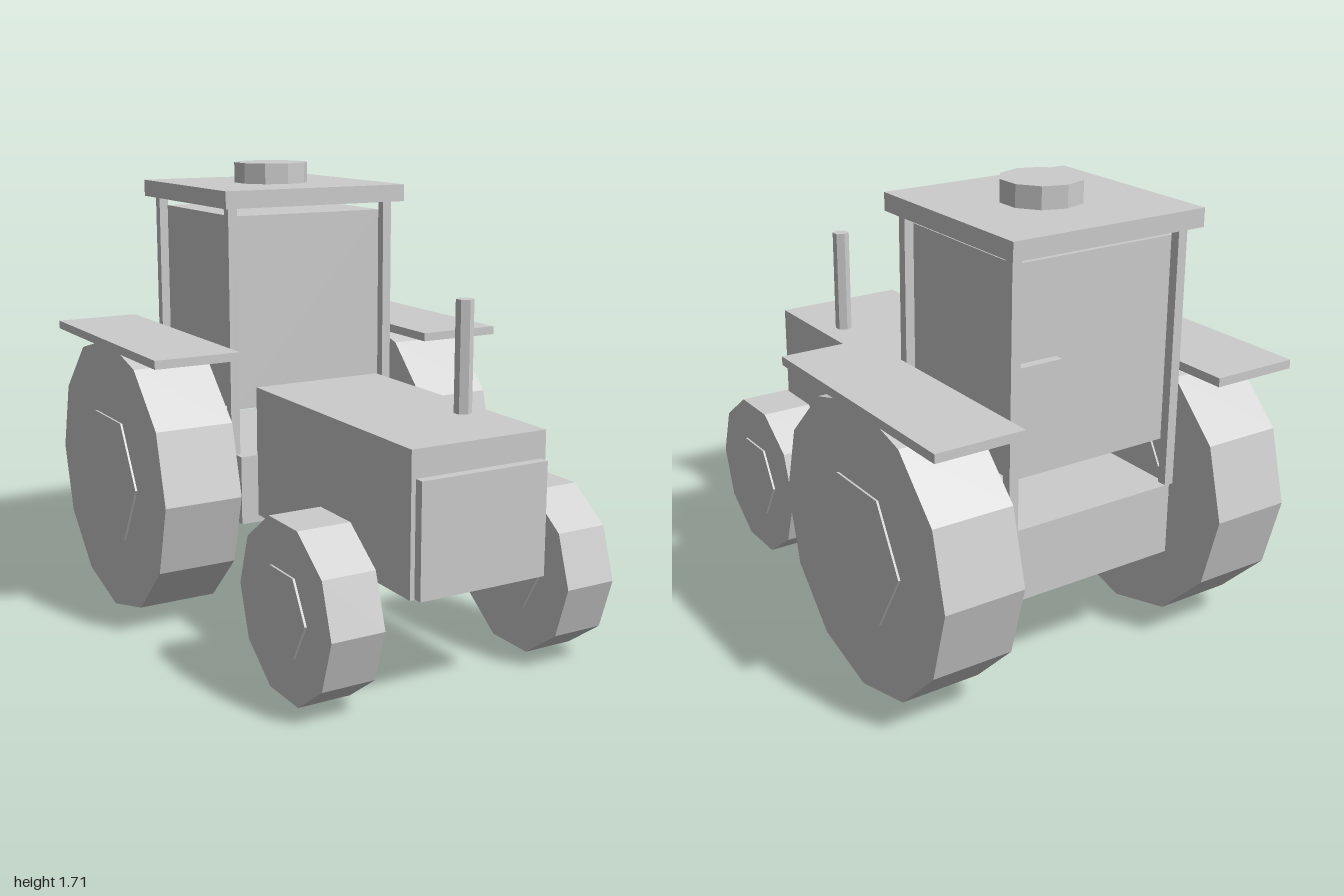
import * as THREE from 'three';

const grey = new THREE.MeshStandardMaterial({ color: 0xcccccc, flatShading: true });
grey.name = 'plain grey';

export function createModel() {
  const model = new THREE.Group();
  model.name = 'tractor';

  // Box given by its [min, max] extent on each axis
  function box(name, [x0, x1], [y0, y1], [z0, z1]) {
    const mesh = new THREE.Mesh(new THREE.BoxGeometry(x1 - x0, y1 - y0, z1 - z0), grey);
    mesh.position.set((x0 + x1) / 2, (y0 + y1) / 2, (z0 + z1) / 2);
    mesh.name = name;
    model.add(mesh);
    return mesh;
  }

  // Faceted upright cylinder
  function drum(name, radius, height, sides, x, y, z, parent = model) {
    const mesh = new THREE.Mesh(new THREE.CylinderGeometry(radius, radius, height, sides), grey);
    mesh.position.set(x, y, z);
    mesh.name = name;
    parent.add(mesh);
    return mesh;
  }

  // Tyre with a six-sided hub showing on both faces
  function wheel(name, radius, width, sides, hubRadius, hubWidth, x, y, z) {
    const group = new THREE.Group();
    group.name = name;
    drum('tyre', radius, width, sides, 0, 0, 0, group);
    drum('hub', hubRadius, hubWidth, 6, 0, 0, 0, group);
    group.rotation.z = Math.PI / 2;
    group.position.set(x, y, z);
    model.add(group);
  }

  // Body
  box('hood', [-0.265, 0.265], [0.4, 0.9], [-0.105, 0.965]);
  box('grille', [-0.248, 0.248], [0.403, 0.803], [0.96, 1.0]);
  box('rearBody', [-0.335, 0.335], [0.372, 0.637], [-0.82, -0.1]);
  drum('exhaust', 0.032, 0.4, 6, 0.165, 1.1, 0.63);

  // Cab
  box('cabWindows', [-0.318, 0.318], [0.803, 1.538], [-0.782, -0.182]);
  box('roof', [-0.383, 0.383], [1.573, 1.638], [-0.863, -0.1]);
  drum('beacon', 0.146, 0.08, 10, 0, 1.677, -0.482);
  box('rearPlate', [0.15, 0.315], [1.07, 1.205], [-0.815, -0.78]);

  for (const side of [-1, 1]) {
    const label = side > 0 ? 'left' : 'right';

    // Corner posts of the cab
    for (const [end, z] of [['Front', -0.163], ['Rear', -0.8]]) {
      const x = side * 0.335;
      box(label + end + 'Post', [x - 0.018, x + 0.018], [0.635, 1.575], [z - 0.018, z + 0.018]);
    }

    // Wheels and fenders
    wheel(label + 'RearWheel', 0.532, 0.302, 12, 0.266, 0.318, side * 0.567, 0.535, -0.468);
    wheel(label + 'FrontWheel', 0.318, 0.197, 10, 0.16, 0.213, side * 0.467, 0.323, 0.667);
    const fender = side * 0.566;
    box(label + 'Fender', [fender - 0.166, fender + 0.166], [1.038, 1.07], [-0.967, 0.033]);
  }

  return model;
}
